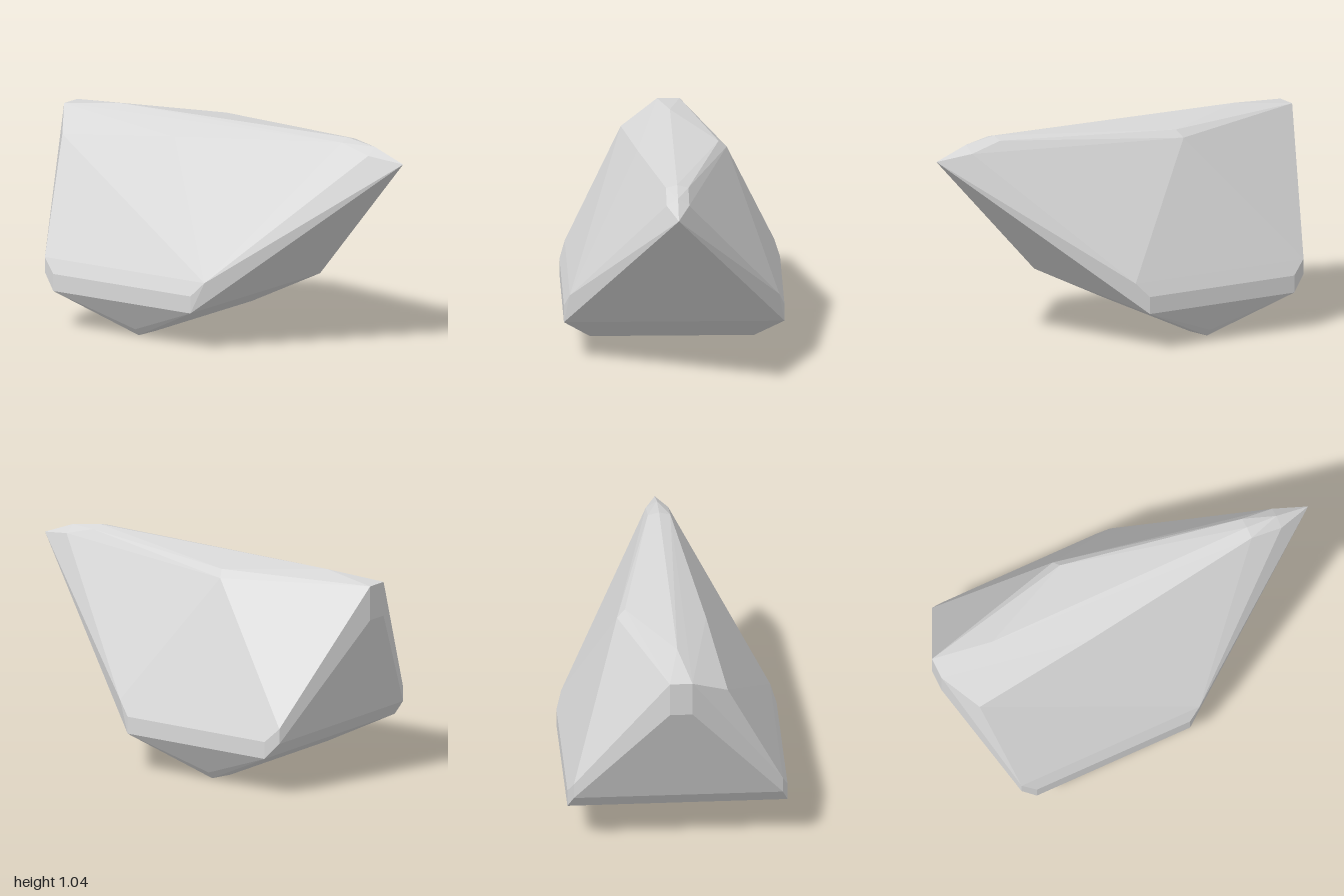
import * as THREE from 'three';
import { ConvexGeometry } from 'three/addons/geometries/ConvexGeometry.js';

export function createModel() {
  const group = new THREE.Group();
  group.name = 'rock';

  const stone = new THREE.MeshStandardMaterial({ color: 0xd7d7d7, flatShading: true });
  stone.name = 'pale grey stone';

  // Corners shared by both sides, given for +x and mirrored
  const mirrored = [
    // keel
    [0.40, 0, -0.3], [0.40, 0.035, -0.2], [0.40, 0.035, -0.41], [0.43, 0.035, -0.3],
    // widest band and its bevels
    [0.537, 0.19, 0.11], [0.537, 0.275, 0.11], [0.51, 0.345, 0.175],
    [0.537, 0.19, -0.715], [0.537, 0.275, -0.715], [0.51, 0.27, -0.785], [0.51, 0.345, -0.785],
    // nose and back end
    [0.055, 0.985, 0.83], [0.055, 1.03, 0.67],
    [0.055, 1.0, -1], [0.055, 0.83, -1],
  ];
  // Corners on the crest and the uneven shoulders
  const single = [
    [0, 0.955, 1], [0, 1.02, 0.83], [0, 1.045, 0.67], [0, 1.03, -0.7],
    [0.225, 1.005, -0.23], [0.265, 0.97, -0.25],
    [-0.17, 0.955, -0.25], [-0.235, 0.895, -0.88],
  ];

  const corners = single.map((p) => new THREE.Vector3(...p));
  for (const [x, y, z] of mirrored) {
    for (const side of [1, -1]) corners.push(new THREE.Vector3(side * x, y, z));
  }

  const boulder = new THREE.Mesh(new ConvexGeometry(corners), stone);
  boulder.name = 'boulder';
  group.add(boulder);
  return group;
}
